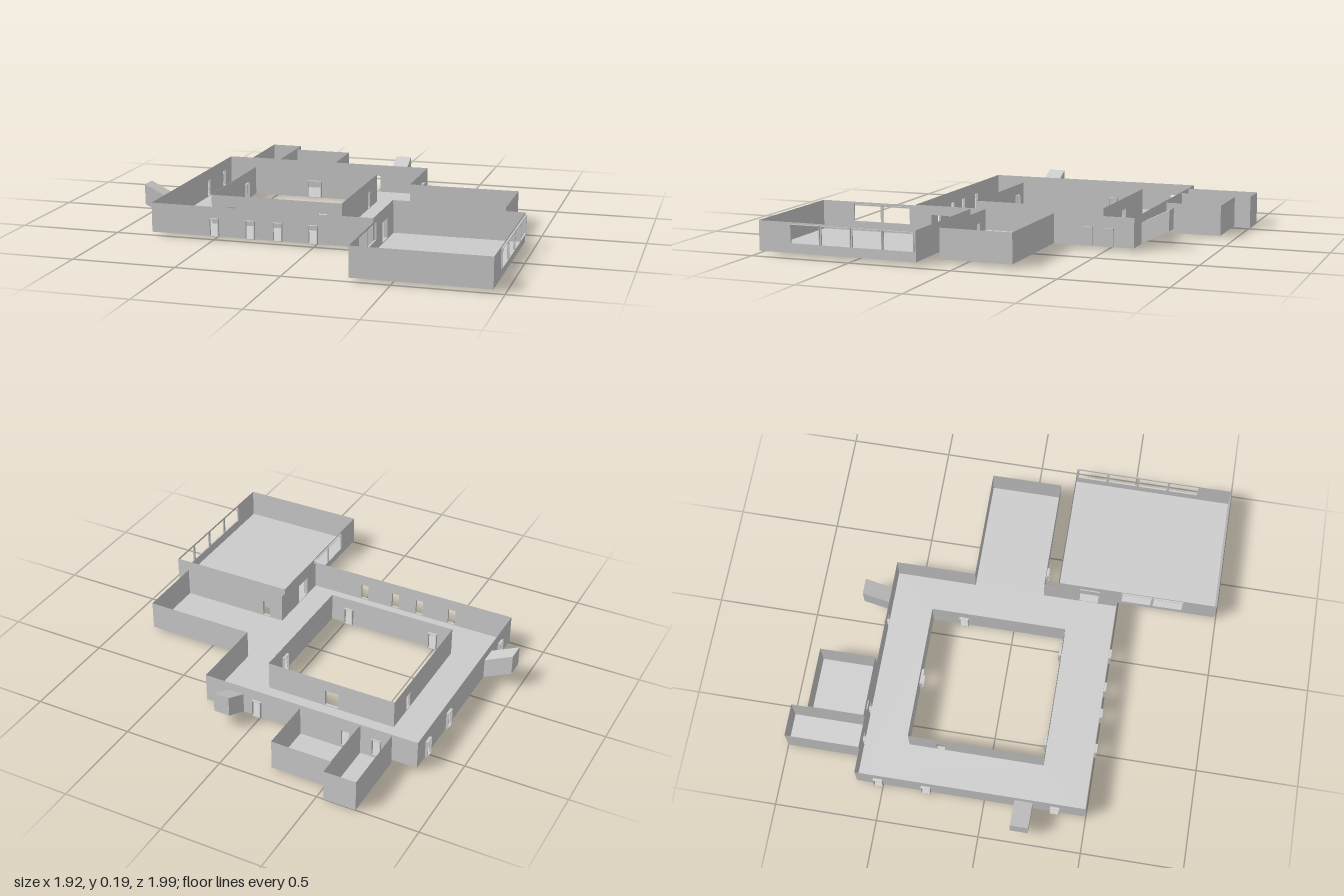
import * as THREE from 'three';

const material = new THREE.MeshStandardMaterial({ color: 0xcccccc, side: THREE.DoubleSide, flatShading: true });
const BASE = 0.015, TOP = 0.16;

function rect(a, b, c, d, Type = THREE.Shape) {
  return new Type([[a, c], [b, c], [b, d], [a, d]].map(p => new THREE.Vector2(...p)));
}

function add(group, name, geometry) {
  const mesh = new THREE.Mesh(geometry, material);
  mesh.name = name;
  group.add(mesh);
  return mesh;
}

// Openings along a wall: centre, width, bottom and top
const door = (c, w = 0.046, top = 0.105) => ({ c, w, y0: BASE + 0.001, y1: top, depth: 0.013 });
const pane = c => ({ c, w: 0.152, y0: 0.06, y1: 0.152, depth: 0.008 });
const closed = c => ({ ...door(c), panel: true });

// Thin wall along an axis; each opening gets a frame projecting to side "out"
function wall(group, name, axis, at, a, b, { out = 1, openings = [], y0 = BASE, y1 = TOP } = {}) {
  const place = (mesh, offset = 0) => {
    if (axis === 'z') {
      mesh.rotation.y = -Math.PI / 2;
      mesh.position.x = at + offset;
    } else mesh.position.z = at + offset;
  };
  const shape = rect(a, b, y0, y1);
  for (const o of openings) {
    const l = o.c - o.w / 2, r = o.c + o.w / 2, t = 0.003;
    shape.holes.push(rect(l, r, o.y0, o.y1, THREE.Path));
    const frame = rect(l, r, o.y0, o.y1);
    if (!o.panel) frame.holes.push(rect(l + t, r - t, o.y0 + t, o.y1 - t, THREE.Path));
    const mesh = add(group, name + 'Frame', new THREE.ExtrudeGeometry(frame, { depth: o.depth, bevelEnabled: false }));
    const positive = axis === 'x' ? out > 0 : out < 0;
    place(mesh, positive ? 0 : out * o.depth);
  }
  place(add(group, name, new THREE.ShapeGeometry(shape)));
}

function floor(group, name, x0, x1, z0, z1, y = BASE, hole) {
  const shape = rect(x0, x1, z0, z1);
  if (hole) shape.holes.push(rect(...hole, THREE.Path));
  add(group, name, new THREE.ShapeGeometry(shape).rotateX(Math.PI / 2).translate(0, y, 0));
}

// Sloping covered stair: a box sheared upward away from its wall
function stair(group, name, x, z, angle, length, width) {
  const geometry = new THREE.BoxGeometry(length, 0.102, width).translate(length / 2, 0.066, 0);
  const p = geometry.attributes.position;
  for (let i = 0; i < p.count; i++) p.setY(i, p.getY(i) + p.getX(i) / length * 0.068);
  geometry.computeVertexNormals();
  const mesh = add(group, name, geometry);
  mesh.position.set(x, 0, z);
  mesh.rotation.y = angle;
}

export function createModel() {
  const model = new THREE.Group();
  const part = name => {
    const g = new THREE.Group();
    g.name = name;
    model.add(g);
    return g;
  };

  // Corridor ring around the courtyard
  const ring = part('corridorRing');
  floor(ring, 'ringFloor', -0.82, 0.287, -0.63, 0.492, BASE, [-0.6, 0.068, -0.41, 0.258]);
  wall(ring, 'frontWall', 'x', 0.492, -0.82, 0.287, { openings: [-0.498, -0.317, -0.18, -0.004].map(c => door(c)) });
  wall(ring, 'backWall', 'x', -0.63, -0.82, 0.287, { out: -1, openings: [door(-0.617), door(-0.46), door(0.01)] });
  wall(ring, 'westWall', 'z', -0.82, -0.63, 0.492, { out: -1, openings: [-0.52, -0.285, 0.345].map(c => door(c)) });
  wall(ring, 'eastWallBack', 'z', 0.287, -0.63, -0.232, { openings: [closed(-0.507), closed(-0.403)] });
  wall(ring, 'eastWallFront', 'z', 0.287, 0.12, 0.492, { openings: [{ ...door(0.35, 0.1, 0.12), depth: 0.02 }] });

  // Courtyard walls
  const court = part('courtyard');
  wall(court, 'courtFront', 'x', 0.258, -0.6, 0.068, { out: -1, openings: [door(-0.498), door(-0.03)] });
  wall(court, 'courtBack', 'x', -0.41, -0.6, 0.068, { openings: [door(-0.272, 0.076)] });
  wall(court, 'courtWest', 'z', -0.6, -0.41, 0.258, { openings: [door(-0.252)] });
  wall(court, 'courtEast', 'z', 0.068, -0.41, 0.258, { out: -1, openings: [door(-0.252)] });

  // Side wing, open to the ring
  const wing = part('eastWing');
  floor(wing, 'wingFloor', 0.287, 0.842, -0.232, 0.12);
  wall(wing, 'wingFront', 'x', 0.12, 0.287, 0.842, { openings: [door(0.378)] });
  wall(wing, 'wingBack', 'x', -0.232, 0.287, 0.842);
  wall(wing, 'wingEnd', 'z', 0.842, -0.232, 0.12);

  // Large hall with window rows
  const hall = part('hall');
  floor(hall, 'hallFloor', 0.308, 0.948, 0.19, 0.988);
  wall(hall, 'hallFront', 'x', 0.988, 0.308, 0.948);
  wall(hall, 'hallBack', 'x', 0.19, 0.308, 0.948);
  wall(hall, 'hallEast', 'z', 0.948, 0.19, 0.988, { openings: [0.273, 0.43, 0.588, 0.746].map(pane) });
  wall(hall, 'hallWest', 'z', 0.308, 0.19, 0.988, { out: -1, openings: [{ ...door(0.35, 0.1, 0.12), depth: 0.003 }, pane(0.588), pane(0.746)] });

  // Two rooms at the back
  const narrow = part('narrowBackRoom');
  floor(narrow, 'narrowFloor', -0.694, -0.535, -1, -0.635, 0);
  wall(narrow, 'narrowWest', 'z', -0.694, -1, -0.635, { y0: 0 });
  wall(narrow, 'narrowEast', 'z', -0.535, -1, -0.635, { y0: 0 });
  wall(narrow, 'narrowEnd', 'x', -1, -0.694, -0.535, { y0: 0 });
  wall(narrow, 'narrowInner', 'x', -0.635, -0.694, -0.535, { y0: 0, openings: [{ ...door(-0.617), depth: 0.003 }] });

  const wide = part('wideBackRoom'), low = { y0: 0.005, y1: 0.156 };
  floor(wide, 'wideFloor', -0.53, -0.228, -0.92, -0.643, 0.005);
  wall(wide, 'wideWest', 'z', -0.53, -0.92, -0.643, low);
  wall(wide, 'wideEast', 'z', -0.228, -0.92, -0.643, low);
  wall(wide, 'wideEnd', 'x', -0.92, -0.53, -0.228, low);
  wall(wide, 'wideInner', 'x', -0.643, -0.53, -0.228, { ...low, openings: [{ ...door(-0.46), depth: 0.003 }] });

  // Covered stairs
  const stairs = part('coveredStairs');
  stair(stairs, 'westStair', -0.82, 0.193, Math.PI, 0.142, 0.088);
  stair(stairs, 'backStair', 0.123, -0.63, Math.PI / 2, 0.135, 0.08);
  return model;
}
